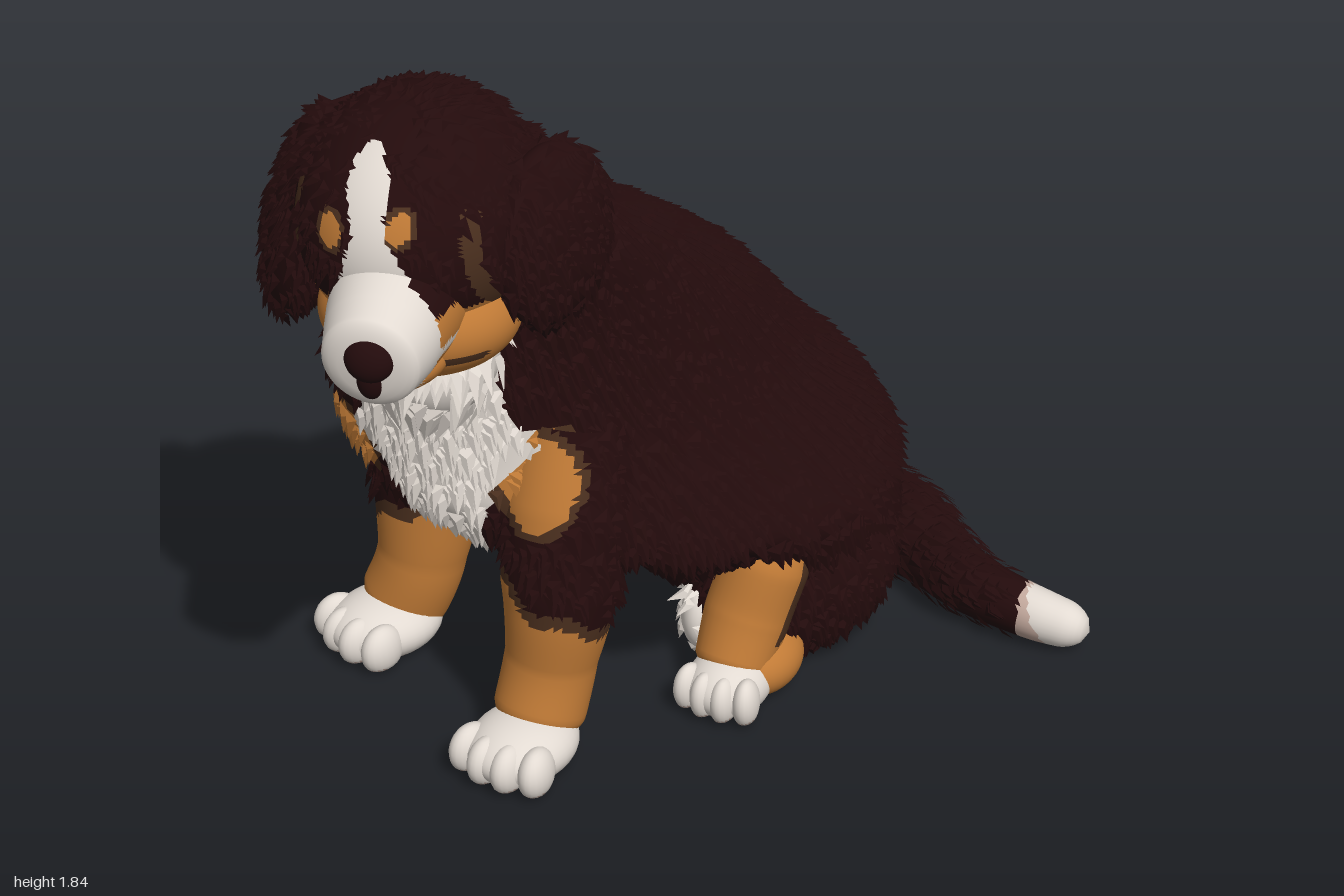
import * as THREE from 'three';
import { mergeVertices, mergeGeometries } from 'three/addons/utils/BufferGeometryUtils.js';

const V = (x, y, z) => new THREE.Vector3(x, y, z);
const PALETTE = { darkCoat: 0x230b0c, tan: 0xc07a36, white: 0xe2dad2, brownEdge: 0x4a2f1e, pinkFur: 0xc2a89c };
const YAW = -0.57; // the body sits turned while the head looks forward
const FORWARD = V(Math.sin(YAW), 0, Math.cos(YAW));
const SIDE = V(Math.cos(YAW), 0, -Math.sin(YAW));

function createRandom(seed) {
  return () => {
    seed = (seed * 1664525 + 1013904223) >>> 0;
    return seed / 4294967296;
  };
}

// Ellipsoid
function blob(c, r, rot = [0, 0, 0], w = 32, h = 24) {
  const q = new THREE.Quaternion().setFromEuler(new THREE.Euler(...rot, 'YXZ'));
  return new THREE.SphereGeometry(1, w, h).applyMatrix4(new THREE.Matrix4().compose(V(...c), q, V(...r)));
}

// Tube with a changing radius and a rounded end
function limb(points, radii, n = 40, sides = 28) {
  const curve = new THREE.CatmullRomCurve3(points.map(p => V(...p)));
  const geo = new THREE.TubeGeometry(curve, n, 1, sides);
  const pos = geo.attributes.position, v = V();
  for (let i = 0; i <= n; i++) {
    const u = i / n, c = curve.getPointAt(u), t = u * (radii.length - 1);
    const k = Math.min(Math.floor(t), radii.length - 2);
    const cap = Math.sqrt(Math.max(0, 1 - Math.max(0, (u - 0.92) / 0.08) ** 2));
    const r = THREE.MathUtils.lerp(radii[k], radii[k + 1], t - k) * cap;
    for (let j = 0; j <= sides; j++) {
      const id = i * (sides + 1) + j;
      v.fromBufferAttribute(pos, id).sub(c).multiplyScalar(r).add(c);
      pos.setXYZ(id, v.x, v.y, v.z);
    }
  }
  return geo;
}

// Horizontal oval slices: [x, y, z, half width, half depth]
function slices(rows, n = 64, sides = 84) {
  const centres = new THREE.CatmullRomCurve3(rows.map(r => V(r[0], r[1], r[2])));
  const sizes = new THREE.CatmullRomCurve3(rows.map(r => V(r[3], r[4], 0)));
  const pos = [], index = [];
  for (let i = 0; i <= n; i++) {
    const t = Math.max(0, i - 1) / (n - 1), c = centres.getPoint(t), s = sizes.getPoint(t);
    if (i === 0) s.multiplyScalar(0.02);
    for (let j = 0; j < sides; j++) {
      const a = (j / sides) * Math.PI * 2;
      const p = c.clone().addScaledVector(SIDE, s.x * Math.cos(a)).addScaledVector(FORWARD, s.y * Math.sin(a));
      pos.push(p.x, p.y, p.z);
      if (i === n) continue;
      const A = i * sides + j, B = i * sides + (j + 1) % sides;
      index.push(A, A + sides, B, B, A + sides, B + sides);
    }
  }
  const geo = new THREE.BufferGeometry();
  geo.setAttribute('position', new THREE.Float32BufferAttribute(pos, 3));
  geo.setIndex(index);
  return geo;
}

export function createModel() {
  const model = new THREE.Group();
  const random = createRandom(7);
  const materials = {};
  for (const [name, color] of Object.entries(PALETTE)) {
    materials[name] = new THREE.MeshStandardMaterial({ color });
    materials[name].name = name;
  }

  // Colours each face by a rule and lays pointed fur flakes over the surface
  function coat(name, source, rule, { density = 0, length = 0.07, flow = V(0, -1, -0.4), bare = [] } = {}) {
    source.deleteAttribute('uv');
    source.deleteAttribute('normal');
    for (let i = 0, p = source.attributes.position; i < p.count; i++) p.setY(i, Math.max(0, p.getY(i)));
    const smooth = mergeVertices(source, 1e-5);
    smooth.computeVertexNormals();
    const flat = smooth.toNonIndexed(), P = flat.attributes.position, N = flat.attributes.normal;
    const buckets = {};
    const add = (key, pts, normals) => {
      const b = (buckets[key] ??= { pos: [], nor: [] });
      pts.forEach((p, i) => { b.pos.push(p.x, p.y, p.z); b.nor.push(normals[i].x, normals[i].y, normals[i].z); });
    };
    for (let i = 0; i < P.count; i += 3) {
      const pts = [0, 1, 2].map(k => V().fromBufferAttribute(P, i + k));
      const tri = new THREE.Triangle(...pts), c = tri.getMidpoint(V()), n = tri.getNormal(V());
      const ground = c.y < 0.006, key = ground ? 'pinkFur' : rule(c, n);
      add(key, pts, [0, 1, 2].map(k => V().fromBufferAttribute(N, i + k)));
      if (ground || bare.includes(key) || random() > tri.getArea() * density) continue;
      const f = flow.clone().addScaledVector(n, -flow.dot(n));
      if (f.length() < 0.15) continue;
      f.normalize();
      const s = V().crossVectors(f, n), len = length * (0.7 + 0.6 * random());
      const left = c.clone().addScaledVector(s, len * 0.36), right = c.clone().addScaledVector(s, -len * 0.36);
      const tip = c.clone().addScaledVector(f, len).addScaledVector(n, len * 0.28);
      const ridge = c.clone().addScaledVector(f, len * 0.25).addScaledVector(n, len * 0.2);
      if (rule(tip, n) !== key) continue;
      tip.y = Math.max(tip.y, 0.002);
      for (const t of [[left, ridge, tip], [ridge, right, tip], [left, right, ridge]]) {
        const fn = new THREE.Triangle(...t).getNormal(V());
        if (fn.dot(n) < 0) { t.reverse(); fn.negate(); }
        add(key, t, [fn, fn, fn]);
      }
    }
    const geo = new THREE.BufferGeometry(), pos = [], nor = [], mats = [];
    for (const [key, b] of Object.entries(buckets)) {
      geo.addGroup(pos.length / 3, b.pos.length / 3, mats.length);
      mats.push(materials[key]);
      for (const x of b.pos) pos.push(x);
      for (const x of b.nor) nor.push(x);
    }
    geo.setAttribute('position', new THREE.Float32BufferAttribute(pos, 3));
    geo.setAttribute('normal', new THREE.Float32BufferAttribute(nor, 3));
    const mesh = new THREE.Mesh(geo, mats);
    mesh.name = name;
    model.add(mesh);
  }
  const all = key => () => key;
  const oval = (p, x, y, rx, ry) => Math.hypot((p.x - x) / rx, (p.y - y) / ry);
  const step = (value, table) => { // linear lookup in [key, value] pairs
    const i = Math.max(1, table.findIndex(r => r[0] >= value));
    const [a, b] = [table[i - 1], table[i]];
    return THREE.MathUtils.mapLinear(value, a[0], b[0], a[1], b[1]);
  };

  // Trunk with white chest and tan chest patches
  const bib = [[0.33, 0.01], [0.5, 0.085], [0.68, 0.115], [0.76, 0.16], [0.83, 0.24], [0.9, 0.18], [1, 0.15], [1.3, 0.15], [2, 0.1]];
  const chest = (p, n) => {
    if (n.z < 0.05 || p.z < 0 || p.y < 0.33) return 'darkCoat';
    if (Math.abs(p.x + 0.44) < step(p.y, bib)) return 'white';
    const spot = Math.min(oval(p, -0.72, 0.75, 0.1, 0.11), oval(p, -0.2, 0.75, 0.1, 0.11));
    return spot < 1 ? 'tan' : spot < 1.2 ? 'brownEdge' : 'darkCoat';
  };
  coat('trunk', slices([
    [-0.04, 0, -0.65, 0.4, 0.24], [-0.06, 0.2, -0.56, 0.48, 0.35], [-0.08, 0.38, -0.46, 0.5, 0.45],
    [-0.15, 0.5, -0.3, 0.49, 0.62], [-0.24, 0.64, -0.22, 0.46, 0.66], [-0.33, 0.8, -0.15, 0.43, 0.62],
    [-0.37, 1.0, -0.045, 0.37, 0.555], [-0.37, 1.2, 0.08, 0.3, 0.4], [-0.38, 1.4, 0.3, 0.24, 0.31],
    [-0.4, 1.6, 0.43, 0.17, 0.25], [-0.4, 1.72, 0.48, 0.02, 0.02],
  ]), chest, { density: 1100, length: 0.065 });
  coat('throatRuff', blob([-0.43, 1.11, 0.42], [0.155, 0.17, 0.17]), all('white'), { density: 500, length: 0.085, flow: V(0, -1, 0.3) });
  coat('bellyFur', blob([0.01, 0.11, -0.2], [0.06, 0.11, 0.1]), all('white'), { density: 700, length: 0.06 });

  // Paw with four toes
  function paw(name, x, z, yaw, w) {
    const parts = [blob([0, 0.05, 0], [w, 0.082, w * 1.2])];
    for (let i = 0; i < 4; i++) {
      const s = i - 1.5;
      parts.push(blob([s * w * 0.5, 0.045, w * (0.8 - 0.08 * s * s)], [w * 0.32, 0.066, w * 0.5], [0.12, s * 0.12, 0], 20, 14));
    }
    coat(name, mergeGeometries(parts).rotateY(yaw).translate(x, 0, z), all('white'));
  }

  // Front legs with tan stockings
  for (const [name, dx, dz, foot, slope] of [
    ['leftFrontLeg', -0.18, 0.3, [-0.22, 0.44, -0.2], -0.5], ['rightFrontLeg', -0.68, -0.02, [-0.765, 0.08, -0.5], 0.5]]) {
    coat(name, limb([[dx, 0.85, dz - 0.1], [dx, 0.6, dz - 0.03], [dx, 0.38, dz], [dx - 0.02, 0.2, dz + 0.02],
      [foot[0], 0.04, foot[1] - 0.07]], [0.13, 0.15, 0.145, 0.115, 0.115], 56, 40), (p, n) => {
      const edge = 0.4 + slope * (p.x - dx) + 0.02 * Math.sin(p.x * 40);
      if (p.y > 0.58) return chest(p, n);
      return p.y < edge ? 'tan' : p.y < edge + 0.04 ? 'brownEdge' : 'darkCoat';
    }, { density: 900, length: 0.06, bare: ['tan'] });
    paw(name + 'Paw', ...foot, 0.13);
  }

  // Hind legs: thigh, shin, hock and paw
  for (const [name, x, z, tx, tz, yaw] of [['leftHind', 0, 0, 0.2, -0.34, -0.1], ['rightHind', -0.63, -0.4, -0.33, -0.58, -0.6]]) {
    coat(name + 'Thigh', blob([tx, 0.23, tz], [0.19, 0.26, 0.28], [0, YAW, 0], 40, 32), all('darkCoat'), { density: 1000, length: 0.06 });
    coat(name + 'Shin', limb([[x + 0.22, 0.47, z - 0.22], [x + 0.2, 0.36, z - 0.15], [x + 0.16, 0.2, z - 0.1], [x + 0.14, 0.05, z - 0.02]],
      [0.06, 0.11, 0.11, 0.095]), (p, n) => p.y > 0.43 || (p.y > 0.14 && n.z < 0.25) ? 'brownEdge' : 'tan');
    coat(name + 'Hock', blob([x + 0.19, 0.065, z - 0.11], [0.105, 0.085, 0.14]), all('tan'));
    paw(name + 'Paw', x + 0.15, z, yaw, 0.105);
  }

  // Tail with a white tip
  coat('tail', limb([[0.1, 0.09, -0.84], [0.25, 0.09, -0.83], [0.41, 0.08, -0.74], [0.57, 0.075, -0.62], [0.75, 0.065, -0.56], [0.92, 0.045, -0.55]],
    [0.13, 0.13, 0.125, 0.1, 0.085, 0.075, 0.068, 0.055], 64),
  p => p.x < 0.74 ? 'darkCoat' : p.x + 0.5 * p.y < 0.82 ? 'pinkFur' : 'white',
  { density: 1100, length: 0.055, flow: V(1, -0.1, 0.5), bare: ['white', 'pinkFur'] });

  // Head with blaze, brow spots, brown ear edges and tan cheeks
  const blaze = [[1.3, 0.13], [1.47, 0.1], [1.52, 0.075], [1.59, 0.042], [1.64, 0.042], [1.69, 0.054], [1.73, 0.045], [1.76, 0.015], [2, 0]];
  const inBlaze = p => p.y > 1.33 && p.y < 1.76 && Math.abs(p.x + 0.42 - (1.73 - p.y) * 0.22) < step(p.y, blaze);
  const face = p => {
    if (p.z > 0.6 && inBlaze(p)) return 'white';
    const brow = Math.min(oval(p, -0.487, 1.588, 0.03, 0.037), oval(p, -0.322, 1.618, 0.027, 0.034));
    if (p.z > 0.6 && brow < 1.35) return brow < 1 ? 'tan' : 'brownEdge';
    const besideEar = Math.min(Math.abs(p.x + 0.165 + (p.y - 1.36) * 0.125), Math.abs(p.x + 0.622)) < 0.014;
    if (besideEar && p.z > 0.5 && p.y > 1.36 && p.y < 1.64) return 'brownEdge';
    return p.y < 1.4 && p.z > 0.53 ? 'tan' : 'darkCoat';
  };
  const short = { density: 1000, length: 0.045, bare: ['tan', 'white', 'brownEdge'] };
  const inMouth = p => p.z > 0.67 && p.z < 0.9 && Math.abs(p.y - 1.275) < 0.012;
  coat('skull', blob([-0.41, 1.52, 0.51], [0.28, 0.285, 0.325], [0, 0.15, 0], 120, 90), face, short);
  coat('cheeks', blob([-0.38, 1.315, 0.59], [0.235, 0.145, 0.21], [0, 0.15, 0], 72, 60),
    p => p.z < 0.53 ? 'darkCoat' : inMouth(p) ? 'brownEdge' : 'tan', short);
  coat('muzzle', limb([[-0.4, 1.4, 0.55], [-0.37, 1.395, 0.72], [-0.342, 1.37, 0.88], [-0.328, 1.36, 0.975]],
    [0.19, 0.165, 0.15, 0.13, 0.105], 56, 56),
  p => p.z > 0.83 || inBlaze(p) ? 'white' : inMouth(p) ? 'brownEdge' : p.y < 1.43 ? 'tan' : 'darkCoat');
  coat('lowerJaw', blob([-0.36, 1.275, 0.75], [0.115, 0.06, 0.185], [-0.12, 0.15, 0]), p => p.z > 0.85 ? 'white' : 'tan');
  coat('nose', blob([-0.325, 1.382, 0.96], [0.058, 0.055, 0.04], [-0.2, 0.15, 0]), all('darkCoat'));
  coat('noseGroove', blob([-0.328, 1.325, 0.955], [0.032, 0.05, 0.026], [0.15, 0.15, 0], 20, 16), all('darkCoat'));

  // Drooping ears
  const ear = { density: 1100, length: 0.05 };
  coat('rightEar', blob([-0.7, 1.455, 0.5], [0.085, 0.26, 0.19], [0, 0.6, -0.3], 40, 32), all('darkCoat'), ear);
  coat('leftEar', blob([-0.115, 1.485, 0.46], [0.085, 0.225, 0.175], [0, -0.3, 0.02], 40, 32), all('darkCoat'), ear);

  return model;
}
